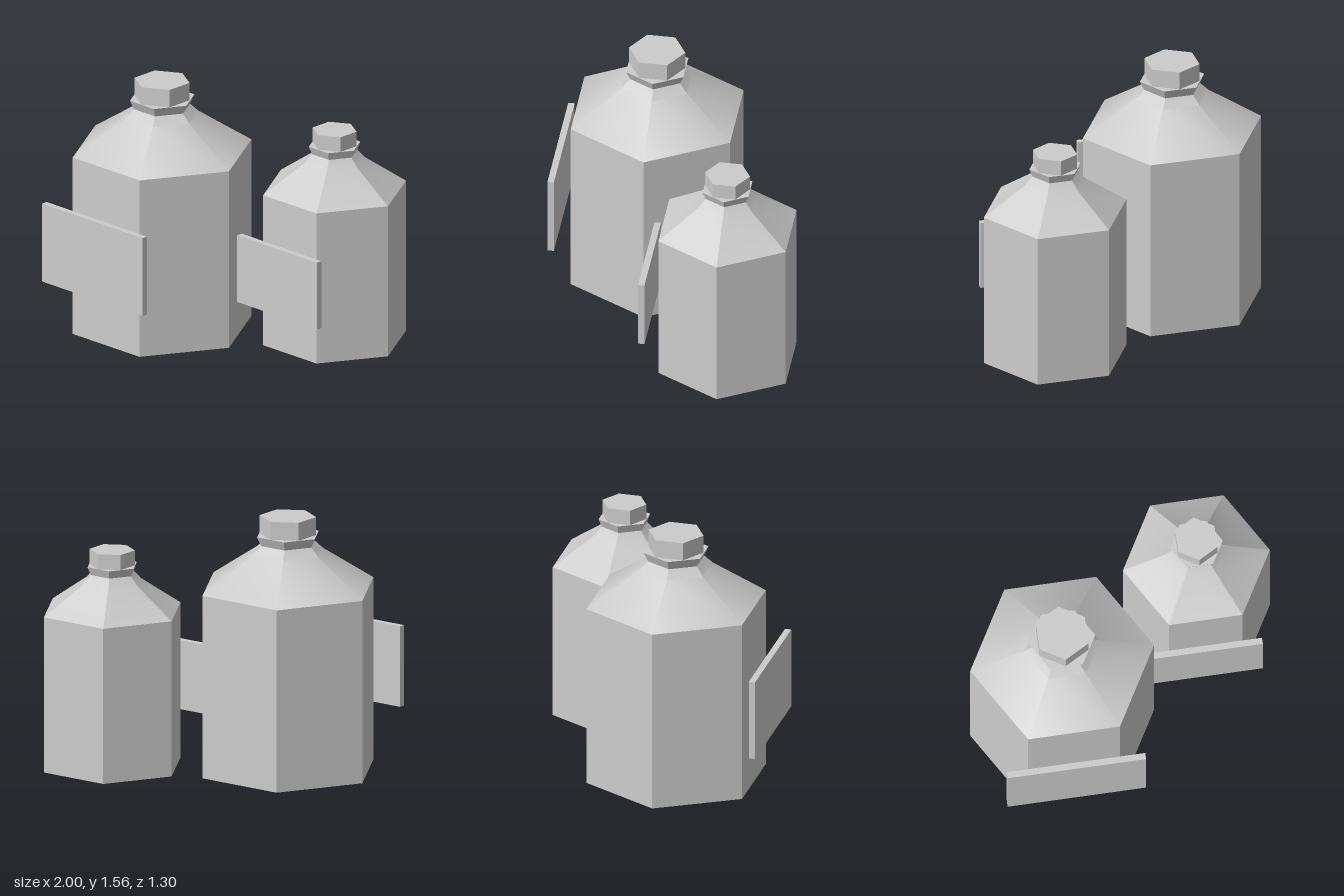
import * as THREE from 'three';
import { toCreasedNormals } from 'three/addons/utils/BufferGeometryUtils.js';

const rad = THREE.MathUtils.degToRad;

export function createModel() {
  const model = new THREE.Group();
  const grey = new THREE.MeshStandardMaterial({ color: 0xcccccc });
  grey.name = 'plainGrey';

  function add(parent, name, geometry, y = 0, crease = 30) {
    const mesh = new THREE.Mesh(toCreasedNormals(geometry, rad(crease)), grey);
    mesh.name = name;
    mesh.position.y = y;
    parent.add(mesh);
    return mesh;
  }

  // six-sided frustum between two heights
  function hexPrism(parent, name, rTop, rBottom, y0, y1, turn) {
    const g = new THREE.CylinderGeometry(rTop, rBottom, y1 - y0, 6, 1, false, rad(turn));
    add(parent, name, g, (y0 + y1) / 2);
  }

  function bottle(name, x, z, s) {
    const group = new THREE.Group();
    group.name = name;
    group.position.set(x, 0, z);

    // body with shallow pointed base, sloping shoulder and short neck
    const profile = s.profile.map(([r, y]) => new THREE.Vector2(r, y));
    add(group, 'body', new THREE.LatheGeometry(profile, 6, rad(8.1)), 0, s.crease);

    // flared collar and screw cap
    hexPrism(group, 'collar', s.collar[0], s.collar[1], s.collar[2], s.collar[3], 8.1);
    hexPrism(group, 'cap', s.cap[0], s.cap[0], s.cap[1], s.cap[2], 37);

    // flat label panel standing off the front-left face
    const [lx, lz, width, y0, y1] = s.label;
    const label = add(group, 'labelPanel', new THREE.BoxGeometry(width, y1 - y0, 0.038), (y0 + y1) / 2);
    label.position.x = lx - x;
    label.position.z = lz - z;
    label.rotation.y = rad(-22);
    model.add(group);
  }

  bottle('largeBottle', -0.407, -0.047, {
    profile: [[0, 0], [0.538, 0.048], [0.538, 1.14], [0.22, 1.35], [0.168, 1.4], [0.168, 1.43]],
    crease: 40,
    collar: [0.194, 0.168, 1.4, 1.455],
    cap: [0.165, 1.455, 1.562],
    label: [-0.617, 0.475, 0.81, 0.368, 0.85],
  });

  bottle('smallBottle', 0.598, -0.225, {
    profile: [[0, 0.004], [0.43, 0.048], [0.43, 0.977], [0.18, 1.15], [0.136, 1.2], [0.136, 1.23]],
    crease: 30,
    collar: [0.155, 0.136, 1.2, 1.248],
    cap: [0.132, 1.248, 1.338],
    label: [0.425, 0.198, 0.642, 0.315, 0.728],
  });

  return model;
}
